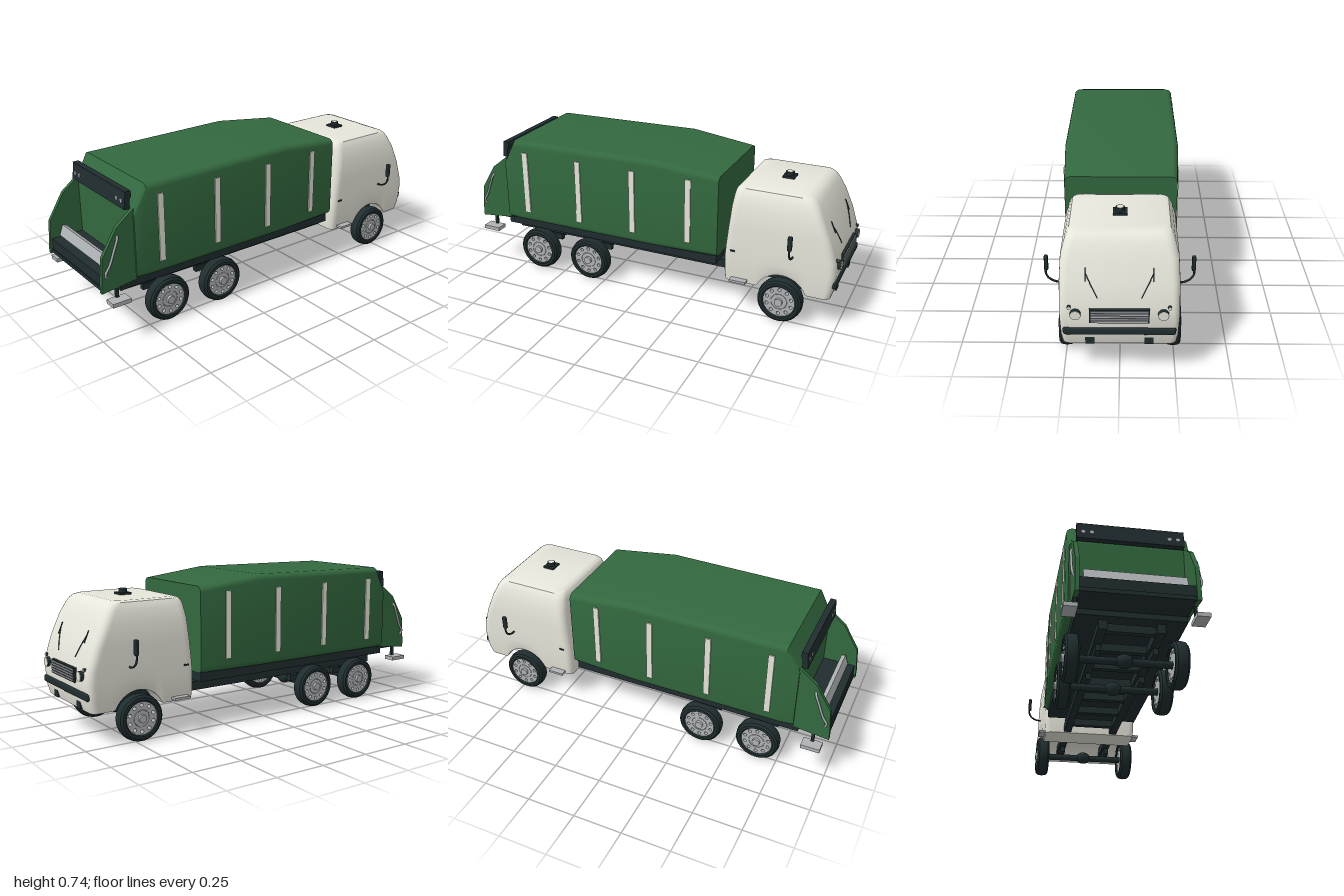
import * as THREE from 'three';
import { toCreasedNormals } from 'three/addons/utils/BufferGeometryUtils.js';
import { RoundedBoxGeometry } from 'three/addons/geometries/RoundedBoxGeometry.js';

const V = (x, y, z) => new THREE.Vector3(x, y, z);
function material(name, color, side = THREE.FrontSide) {
  const m = new THREE.MeshStandardMaterial({ color, side });
  m.name = name;
  return m;
}

// Rounded rectangle as a closed ring of [a, b] pairs, n steps along each a-side
function roundedRing(a0, a1, b0, b1, r, n) {
  const pts = [];
  const arc = (ca, cb, start) => {
    for (let i = 0; i <= 5; i++) {
      const t = start + (i / 5) * Math.PI / 2;
      pts.push([ca + r * Math.cos(t), cb + r * Math.sin(t)]);
    }
  };
  const run = (from, to, b) => {
    for (let i = 1; i < n; i++) pts.push([from + (to - from) * i / n, b]);
  };
  arc(a1 - r, b1 - r, 0);
  run(a1 - r, a0 + r, b1);
  arc(a0 + r, b1 - r, Math.PI / 2);
  arc(a0 + r, b0 + r, Math.PI);
  run(a0 + r, a1 - r, b0);
  arc(a1 - r, b0 + r, Math.PI * 1.5);
  return pts;
}

// Skin a list of equal-length closed rings, with outward winding
function loft(rings, crease) {
  const n = rings[0].length, pts = rings.flat(), index = [];
  for (let j = 0; j < rings.length - 1; j++) {
    for (let i = 0; i < n; i++) {
      const a = j * n + i, b = j * n + (i + 1) % n;
      index.push(a, b, b + n, a, b + n, a + n);
    }
  }
  let volume = 0;
  for (let i = 0; i < index.length; i += 3) {
    volume += pts[index[i]].dot(pts[index[i + 1]].clone().cross(pts[index[i + 2]]));
  }
  if (volume < 0) index.reverse();
  const geo = new THREE.BufferGeometry().setFromPoints(pts);
  geo.setIndex(index);
  return toCreasedNormals(geo, crease);
}

export function createModel() {
  const green = material('green paint', 0x33693f);
  const cream = material('cream paint', 0xe8e7dc);
  const dark = material('dark steel', 0x202d2f);
  const grey = material('grey metal', 0xb0b3b6);

  const truck = new THREE.Group();
  truck.name = 'refuseTruck';
  function add(name, geo, mat, x = 0, y = 0, z = 0, parent = truck) {
    const m = new THREE.Mesh(geo, mat);
    m.name = name;
    m.position.set(x, y, z);
    parent.add(m);
    return m;
  }
  // Box from its limits on each axis
  const box = (name, mat, x0, x1, y0, y1, z0, z1) => add(name,
    new THREE.BoxGeometry(x1 - x0, y1 - y0, Math.abs(z1 - z0)), mat, (x0 + x1) / 2, (y0 + y1) / 2, (z0 + z1) / 2);
  const tube = (name, mat, pts, r) => add(name,
    new THREE.TubeGeometry(new THREE.CatmullRomCurve3(pts), 16, r, 8), mat);
  // Cylinder along z or x
  const rod = (axis, r, len, seg = 24) => {
    const g = new THREE.CylinderGeometry(r, r, len, seg);
    return axis === 'z' ? g.rotateX(Math.PI / 2) : g.rotateZ(Math.PI / 2);
  };

  // Cab: levels of y, back x, front x, half width, corner radius
  const levels = [
    [0.165, 0.43, 0.962, 0.252, 0.03], [0.21, 0.427, 0.975, 0.258, 0.03],
    [0.30, 0.427, 0.983, 0.262, 0.032], [0.36, 0.431, 0.977, 0.262, 0.034],
    [0.46, 0.441, 0.945, 0.262, 0.036], [0.56, 0.451, 0.902, 0.257, 0.038],
    [0.62, 0.458, 0.872, 0.24, 0.04], [0.641, 0.463, 0.857, 0.231, 0.04],
    [0.655, 0.474, 0.84, 0.222, 0.04], [0.662, 0.496, 0.815, 0.203, 0.04],
  ];
  const frontX = y => {
    const i = Math.max(1, levels.findIndex(l => l[0] >= y)), a = levels[i - 1], b = levels[i];
    return a[2] + (b[2] - a[2]) * (y - a[0]) / (b[0] - a[0]);
  };
  // The lower edge and floor rise into an arch over the wheels
  const hem = x => Math.max(0.165, 0.115 + Math.sqrt(Math.max(0, 0.133 ** 2 - (x - 0.725) ** 2)));
  const cabRings = levels.map(([y, x0, x1, h, r]) => roundedRing(x0, x1, -h, h, r, 44).map(([x, z]) =>
    V(x, y < 0.3 ? 0.3 - (0.3 - y) * (0.3 - hem(x)) / 0.135 : y, z)));
  const flat = ring => ring.map(p => V(p.x, p.y, 0));
  add('cab', loft([flat(cabRings[0]), ...cabRings, flat(cabRings[cabRings.length - 1])], 0.6), cream);

  // Cab front: grille, bumper
  box('grille', dark, 0.965, 0.991, 0.293, 0.361, -0.13, 0.13);
  for (let i = 0; i < 5; i++) {
    const y = 0.302 + i * 0.0125;
    box('grilleSlat', grey, 0.985, 0.995, y - 0.0035, y + 0.0035, -0.124, 0.124);
  }
  add('bumper', new RoundedBoxGeometry(0.034, 0.038, 0.494, 3, 0.012), dark, 0.971, 0.244, 0);

  // Roof beacon
  box('beaconBase', dark, 0.637, 0.697, 0.658, 0.672, -0.032, 0.032);
  add('beacon', new THREE.CylinderGeometry(0.021, 0.021, 0.019, 24), dark, 0.667, 0.68, 0);
  add('beaconCap', new THREE.CylinderGeometry(0.015, 0.015, 0.003, 24), cream, 0.667, 0.69, 0);

  // Container: sections of x, top, half width
  const sections = [[-0.82, 0.617, 0.28], [-0.755, 0.733, 0.288], [0.05, 0.744, 0.288], [0.395, 0.705, 0.27]];
  const bodyRings = sections.map(([x, t, h]) => roundedRing(-h, h, 0.28, t, 0.03, 2).map(([z, y]) => V(x, y, z)));
  const centre = ring => ring.map(p => V(p.x, 0.45, 0));
  add('container', loft([centre(bodyRings[0]), ...bodyRings, centre(bodyRings[3])], 0.45), green);

  // Tail hopper: the container's back wall closes it at the front
  const side = new THREE.Shape([[-0.815, 0.278], [-0.998, 0.258], [-0.997, 0.30], [-0.985, 0.43], [-0.905, 0.56], [-0.815, 0.63]]
    .map(([x, y]) => new THREE.Vector2(x, y)));
  const sideGeo = new THREE.ExtrudeGeometry(side, { depth: 0.02, bevelEnabled: false });
  box('hopperFloor', dark, -0.99, -0.81, 0.262, 0.282, -0.252, 0.252);
  box('hopperLip', dark, -0.985, -0.965, 0.265, 0.335, -0.252, 0.252);
  box('hopperTray', dark, -0.975, -0.815, 0.32, 0.335, -0.252, 0.252);
  add('hopperBar', new THREE.BoxGeometry(0.022, 0.055, 0.46), grey, -0.933, 0.375, 0).rotation.z = -0.35;
  add('tailBeam', new THREE.BoxGeometry(0.026, 0.075, 0.5), dark, -0.833, 0.658, 0).rotation.z = -0.12;
  box('tailBeamCap', dark, -0.842, -0.812, 0.675, 0.706, -0.25, 0.25);
  for (const z of [-0.22, -0.18, 0.18, 0.22]) add('tailLamp', rod('x', 0.01, 0.004), grey, -0.848, 0.658, z);

  // Chassis
  box('subframe', dark, -0.84, 0.385, 0.235, 0.283, -0.25, 0.25);
  for (let i = 0; i < 7; i++) {
    const x = -0.8 + i * 0.19;
    box('crossMember', dark, x - 0.015, x + 0.015, 0.175, 0.213, -0.13, 0.13);
  }

  // Wheel, facing +z: open tyre ring around a drilled disc
  const tyreProfile = [[0.08, -0.028], [0.086, -0.034], [0.1, -0.0335], [0.11, -0.024], [0.114, 0],
    [0.11, 0.024], [0.1, 0.0335], [0.086, 0.034], [0.08, 0.028], [0.08, -0.028]];
  const tyre = toCreasedNormals(new THREE.LatheGeometry(tyreProfile.map(([r, y]) => new THREE.Vector2(r, y)), 40)
    .rotateX(Math.PI / 2), 0.6);
  const disc = new THREE.Shape().absarc(0, 0, 0.082, 0, Math.PI * 2);
  for (let i = 0; i < 10; i++) {
    const a = (i + 0.5) * Math.PI / 5;
    disc.holes.push(new THREE.Path().absarc(0.064 * Math.cos(a), 0.064 * Math.sin(a), 0.0085, 0, Math.PI * 2, true));
  }
  const rim = new THREE.ExtrudeGeometry(disc, { depth: 0.052, bevelEnabled: false, curveSegments: 20 }).translate(0, 0, -0.025);
  function wheel(x, s) {
    const w = new THREE.Group();
    w.name = 'wheel';
    w.position.set(x, 0.115, s * 0.247);
    if (s < 0) w.rotation.y = Math.PI;
    truck.add(w);
    add('tyre', tyre, dark, 0, 0, 0, w);
    add('rim', rim, grey, 0, 0, 0, w);
    add('hubRing', new THREE.TorusGeometry(0.04, 0.002, 6, 32), grey, 0, 0, 0.0275, w);
    add('hub', rod('z', 0.02, 0.022), grey, 0, 0, 0.03, w);
  }

  // Axles with differentials
  const axles = [-0.645, -0.335, 0.725];
  for (const x of axles) {
    add('axle', rod('z', 0.018, 0.45), dark, x, 0.115, 0);
    add('differential', new THREE.SphereGeometry(0.034, 24, 16), dark, x, 0.117, 0).scale.z = 1.25;
  }

  // Everything mirrored about the long centre line
  for (const s of [1, -1]) {
    box('chassisRail', dark, -0.84, 0.974, 0.17, 0.215, s * 0.11, s * 0.15);
    box('upperRail', dark, -0.84, 0.44, 0.235, 0.28, s * 0.11, s * 0.145);
    for (const x of axles) {
      wheel(x, s);
      box('leafSpring', dark, x - 0.07, x + 0.07, 0.128, 0.16, s * 0.117, s * 0.143);
      box('springHanger', dark, x - 0.012, x + 0.012, 0.15, 0.18, s * 0.126, s * 0.134);
    }
    // Container ribs follow the taper of the front
    for (const x of [-0.685, -0.37, -0.06, 0.24]) {
      const z = x > 0.05 ? 0.278 : 0.288;
      const rib = box('sideRib', cream, x - 0.015, x + 0.015, 0.34, 0.675, s * (z - 0.006), s * (z + 0.006));
      if (x > 0.05) rib.rotation.y = s * 0.053;
    }
    // Hopper side, grab handle and rear step
    add('hopperSide', sideGeo, green, 0, 0, s > 0 ? 0.252 : -0.272);
    tube('grabHandle', grey, [V(-0.972, 0.335, s * 0.272), V(-0.978, 0.355, s * 0.28), V(-0.955, 0.395, s * 0.282),
      V(-0.93, 0.46, s * 0.282), V(-0.91, 0.51, s * 0.28), V(-0.905, 0.52, s * 0.271)], 0.006);
    box('rearStep', grey, -0.97, -0.875, 0.197, 0.217, s * 0.255, s * 0.316);
    box('rearStepPost', dark, -0.928, -0.913, 0.21, 0.285, s * 0.256, s * 0.27);
    // Cab side fittings
    box('cabStep', grey, 0.47, 0.553, 0.175, 0.187, s * 0.24, s * 0.289);
    box('doorHandle', dark, 0.463, 0.488, 0.331, 0.339, s * 0.255, s * 0.267);
    add('mirror', new RoundedBoxGeometry(0.022, 0.072, 0.018, 2, 0.005), dark, 0.775, 0.464, s * 0.329);
    tube('mirrorArm', dark, [V(0.775, 0.362, s * 0.258), V(0.775, 0.366, s * 0.29), V(0.775, 0.385, s * 0.32),
      V(0.775, 0.41, s * 0.332), V(0.775, 0.435, s * 0.331)], 0.005);
    // Lamps and wipers
    add('headlampHousing', rod('x', 0.0235, 0.042, 32), dark, 0.974, 0.335, s * 0.19);
    add('headlamp', rod('x', 0.0225, 0.003, 32), cream, 0.9955, 0.335, s * 0.19);
    add('indicatorHousing', rod('x', 0.0085, 0.03), dark, 0.969, 0.366, s * 0.217);
    add('indicator', rod('x', 0.0077, 0.003), cream, 0.9845, 0.366, s * 0.217);
    const onGlass = (y, z) => V(frontX(y) + 0.004, y, s * z);
    tube('wiperArm', dark, [onGlass(0.405, 0.095), onGlass(0.455, 0.12), onGlass(0.51, 0.147)], 0.002);
    tube('wiperBlade', dark, [onGlass(0.475, 0.147), onGlass(0.53, 0.147)], 0.0025);
  }
  return truck;
}
